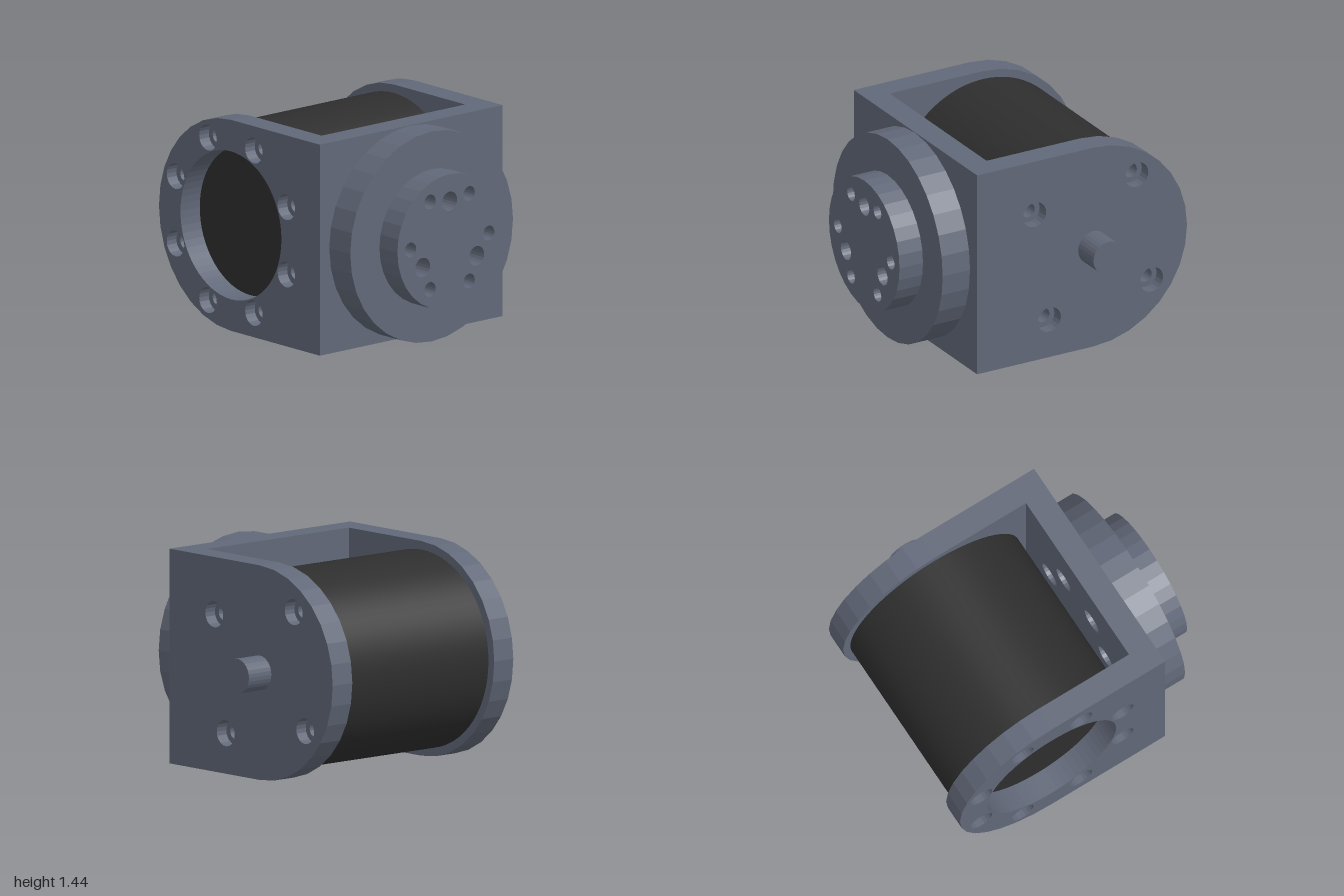
import * as THREE from 'three';

const AX = -0.28, AY = 0.72;   // drum axis
const DZ = 0.1;                // flange centre in z
const BORE = 0.05, HEAD = 0.088, BOLT_DEPTH = 0.085;

// Points of an arc around (cx, cy)
function arc(cx, cy, r, n, a0 = 0, a1 = Math.PI * 2) {
  const closed = a1 - a0 > 6.28;
  const pts = [];
  for (let i = 0; i < (closed ? n : n + 1); i++) {
    const a = a0 + (a1 - a0) * i / n;
    pts.push(new THREE.Vector2(cx + r * Math.cos(a), cy + r * Math.sin(a)));
  }
  return pts;
}

// Centres evenly spread on a bolt circle
function ring(cx, cy, r, n, startDeg) {
  return arc(cx, cy, r, n, startDeg * Math.PI / 180, startDeg * Math.PI / 180 + Math.PI * 2);
}

const circles = (centres, r) => centres.map(c => arc(c.x, c.y, r, 20));

// Flat slab with holes, from z0 to z1
function slab(outline, holes, z0, z1) {
  const shape = new THREE.Shape(outline);
  holes.forEach(h => shape.holes.push(new THREE.Path(h)));
  const geo = new THREE.ExtrudeGeometry(shape, { depth: z1 - z0, bevelEnabled: false });
  geo.translate(0, 0, z0);
  return geo;
}

export function createModel() {
  const model = new THREE.Group();
  const metal = new THREE.MeshStandardMaterial({ color: 0x616878, flatShading: true });
  metal.name = 'slate metal';
  const black = new THREE.MeshStandardMaterial({ color: 0x2e2e2e });
  black.name = 'black drum';

  function add(name, geo, mat = metal) {
    const mesh = new THREE.Mesh(geo, mat);
    mesh.name = name;
    model.add(mesh);
    return mesh;
  }
  // Slab extruded along +x; its outline is drawn in (-z, y)
  const addSide = (name, outline, holes, x0, x1) =>
    add(name, slab(outline, holes, x0, x1).rotateY(Math.PI / 2));

  // Side plates: square at the flange end, round around the drum
  const cheek = [
    new THREE.Vector2(0.61, 0), new THREE.Vector2(0.61, 1.44),
    ...arc(AX, AY, 0.72, 16, Math.PI / 2, Math.PI * 1.5),
  ];
  const frontBolts = ring(AX, AY, 0.6, 8, 22.5);
  const window = arc(AX, AY, 0.505, 64);
  add('frontPlateInner', slab(cheek, [window, ...circles(frontBolts, BORE)], 0.73, 0.9 - BOLT_DEPTH));
  add('frontPlateOuter', slab(cheek, [window, ...circles(frontBolts, HEAD)], 0.9 - BOLT_DEPTH, 0.9));

  const backBolts = ring(AX, AY, 0.56, 4, 36.8);
  add('backPlateInner', slab(cheek, circles(backBolts, BORE), -0.71 + BOLT_DEPTH, -0.535));
  add('backPlateOuter', slab(cheek, circles(backBolts, HEAD), -0.71, -0.71 + BOLT_DEPTH));

  // Cross plate joining the side plates, bolt heads sunk from the inside
  const wall = [[-0.73, 0], [0.535, 0], [0.535, 1.44], [-0.73, 1.44]]
    .map(p => new THREE.Vector2(...p));
  const flangeBolts = ring(-DZ, AY, 0.345, 6, 0);
  addSide('crossPlateInner', wall, circles(flangeBolts, HEAD), 0.435, 0.435 + BOLT_DEPTH);
  addSide('crossPlateOuter', wall, circles(flangeBolts, BORE), 0.435 + BOLT_DEPTH, 0.61);

  // Stepped flange; the three larger pin holes stop at the big disc
  const pins = ring(-DZ, AY, 0.275, 3, 90);
  addSide('flangeDisc', arc(-DZ, AY, 0.717, 32), circles(flangeBolts, BORE), 0.61, 0.82);
  addSide('flangeHub', arc(-DZ, AY, 0.46, 32),
    [...circles(flangeBolts, BORE), ...circles(pins, 0.066)], 0.82, 1);

  // Drum between the plates
  const drum = new THREE.CylinderGeometry(0.663, 0.663, 1.265, 64).rotateX(Math.PI / 2);
  add('drum', drum, black).position.set(AX, AY, 0.0975);

  // Rear shaft stub
  const shaft = new THREE.CylinderGeometry(0.115, 0.115, 0.2, 28).rotateX(Math.PI / 2);
  add('shaft', shaft).position.set(AX, AY, -0.81);

  return model;
}
